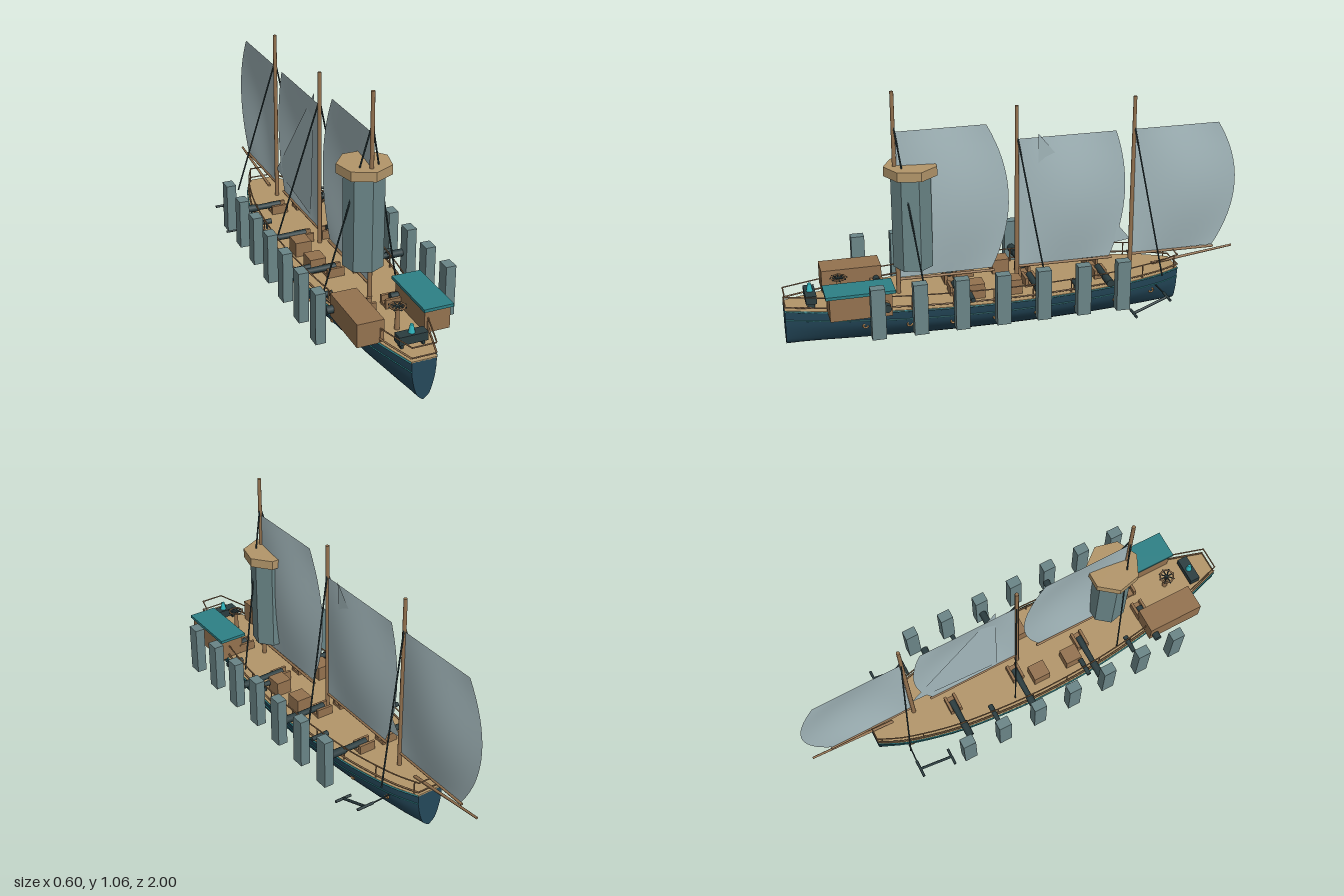
import * as THREE from 'three';

const mat = (name, color, side = THREE.FrontSide) => {
  const m = new THREE.MeshStandardMaterial({ color, side });
  m.name = name;
  return m;
};

export function createModel() {
  const root = new THREE.Group();
  const hullBlue = mat('hull blue', 0x24485a, THREE.DoubleSide);
  const deckTan = mat('deck tan', 0xb3966a);
  const wood = mat('brown wood', 0x94724f);
  const slate = mat('slate', 0x6a8587);
  const sailGrey = mat('sail grey', 0xa2b6ba, THREE.DoubleSide);
  const teal = mat('teal', 0x2d8086);
  const iron = mat('dark iron', 0x2b3d40);
  const brass = mat('brass', 0xb98a55);
  const cyan = mat('lamp cyan', 0x2fb4bd);

  const V = (x, y, z) => new THREE.Vector3(x, y, z);
  const add = (name, geo, m, x = 0, y = 0, z = 0) => {
    const mesh = new THREE.Mesh(geo, m);
    mesh.name = name;
    mesh.position.set(x, y, z);
    root.add(mesh);
    return mesh;
  };
  const box = (name, m, w, h, d, x, y, z) => add(name, new THREE.BoxGeometry(w, h, d), m, x, y, z);
  // round bar between two points
  const bar = (name, m, a, b, r, r2 = r, sides = 8) => {
    const d = b.clone().sub(a);
    const mesh = add(name, new THREE.CylinderGeometry(r2, r, d.length(), sides), m);
    mesh.position.copy(a).add(b).multiplyScalar(0.5);
    mesh.quaternion.setFromUnitVectors(V(0, 1, 0), d.normalize());
    return mesh;
  };
  const sides = [1, -1];

  // Hull plan: half width along z
  const plan = new THREE.SplineCurve([[-0.72, 0.06], [-0.6, 0.115], [-0.4, 0.167], [-0.2, 0.193], [0, 0.205], [0.2, 0.202],
    [0.4, 0.186], [0.6, 0.157], [0.8, 0.113], [1, 0.052]].map(p => new THREE.Vector2(...p))).getPoints(45);
  const halfWidth = z => {
    let i = 1;
    while (i < plan.length - 1 && plan[i].x < z) i++;
    const a = plan[i - 1], b = plan[i];
    return a.y + (b.y - a.y) * THREE.MathUtils.clamp((z - a.x) / (b.x - a.x), 0, 1);
  };
  // Hull section: fraction of half width, height
  const section = new THREE.SplineCurve([[0, 0], [0.3, 0.012], [0.57, 0.032], [0.85, 0.085], [0.95, 0.125], [1, 0.172]]
    .map(p => new THREE.Vector2(...p))).getPoints(14);
  const ring = [...section.slice(1).reverse().map(p => [-p.x, p.y]), ...section.map(p => [p.x, p.y])];
  const pos = [], idx = [], n = ring.length;
  plan.forEach(p => ring.forEach(([f, y]) => pos.push(f * p.y, y, p.x)));
  for (let i = 0; i < plan.length - 1; i++) for (let j = 0; j < n - 1; j++) {
    const a = i * n + j, b = a + n;
    idx.push(a, a + 1, b, a + 1, b + 1, b);
  }
  const hullGeo = new THREE.BufferGeometry();
  hullGeo.setAttribute('position', new THREE.Float32BufferAttribute(pos, 3));
  hullGeo.setIndex(idx);
  hullGeo.computeVertexNormals();
  // outward winding check is by rule: bottom normals point down
  if (hullGeo.attributes.normal.getY(Math.floor(n / 2) + n * 20) > 0) {
    for (let i = 0; i < idx.length; i += 3) [idx[i], idx[i + 1]] = [idx[i + 1], idx[i]];
    hullGeo.setIndex(idx);
    hullGeo.computeVertexNormals();
  }
  add('hull', hullGeo, hullBlue);
  [plan[0], plan[plan.length - 1]].forEach(p => {
    const end = new THREE.Shape(ring.map(([f, y]) => new THREE.Vector2(f * p.y, y)));
    add('hullEnd', new THREE.ShapeGeometry(end), hullBlue, 0, 0, p.x);
  });

  // Deck
  const outline = [...plan.map(p => new THREE.Vector2(p.y, -p.x)), ...plan.slice().reverse().map(p => new THREE.Vector2(-p.y, -p.x))];
  const deckGeo = new THREE.ExtrudeGeometry(new THREE.Shape(outline), { depth: 0.006, bevelEnabled: false });
  add('deck', deckGeo.rotateX(-Math.PI / 2), deckTan, 0, 0.17, 0);

  // Strakes and rails following the plan
  const rail = (name, m, s, y, f, r) => add(name, new THREE.TubeGeometry(
    new THREE.CatmullRomCurve3(plan.map(p => V(s * p.y * f, y, p.x))), 60, r, 6), m);
  for (const s of sides) {
    rail('gunwale', teal, s, 0.171, 1.01, 0.004);
    rail('rubStrake', teal, s, 0.13, 0.962, 0.003);
    rail('lowerRail', wood, s, 0.19, 0.97, 0.004);
    rail('upperRail', wood, s, 0.235, 0.95, 0.003);
    for (let z = -0.7; z <= 1; z += 0.17) {
      const x = s * halfWidth(z) * 0.95;
      bar('railPost', wood, V(x, 0.17, z), V(x, 0.235, z), 0.003);
    }
    // portholes
    for (let i = 0; i < 8; i++) {
      const z = 0.68 - i * 0.18;
      add('porthole', new THREE.TorusGeometry(0.01, 0.004, 6, 12).rotateY(Math.PI / 2), brass, s * halfWidth(z) * 0.9, 0.103, z);
    }
    // side floats
    for (let i = 0; i < 7; i++) box('sideFloat', slate, 0.043, 0.22, 0.058, s * 0.277, 0.23, 0.648 - i * 0.172);
    // large guns on carriages
    for (const [z, out] of [[0.6, 0.225], [0.287, 0.255], [-0.04, 0.258], [-0.35, 0.228]]) {
      bar('gunBarrel', iron, V(s * 0.05, 0.215, z), V(s * out, 0.215, z), 0.015, 0.011, 10);
      bar('gunMuzzle', iron, V(s * (out - 0.07), 0.215, z), V(s * out, 0.215, z), 0.017, 0.017, 10);
      for (const d of sides) box('gunCarriage', wood, 0.075, 0.04, 0.012, s * 0.058, 0.198, z + d * 0.021);
      box('gunBed', wood, 0.075, 0.012, 0.05, s * 0.058, 0.186, z);
    }
    // small guns
    for (const z of [0.475, 0.245, -0.21]) {
      bar('smallGun', iron, V(s * 0.145, 0.21, z), V(s * 0.225, 0.21, z), 0.012, 0.01, 10);
      bar('smallGunPost', iron, V(s * 0.165, 0.17, z), V(s * 0.165, 0.21, z), 0.005);
    }
    // deck crates
    for (const z of [0.052, 0.213]) box('deckCrate', wood, 0.07, 0.065, 0.075, s * 0.11, 0.208, z);
    // anchors
    bar('anchorShank', iron, V(s * 0.236, 0.125, -0.605), V(s * 0.236, 0.065, -0.455), 0.006);
    bar('anchorStock', iron, V(s * 0.196, 0.125, -0.605), V(s * 0.274, 0.125, -0.605), 0.006);
    bar('anchorArm', iron, V(s * 0.198, 0.065, -0.455), V(s * 0.274, 0.065, -0.455), 0.006);
    bar('anchorCable', iron, V(s * 0.1, 0.125, -0.6), V(s * 0.2, 0.125, -0.605), 0.003);
  }
  for (const y of [0.19, 0.235]) for (const [z, w] of [[1, 0.05], [-0.72, 0.057]])
    bar('endRail', wood, V(-w, y, z * 0.997), V(w, y, z * 0.997), 0.003);

  // Masts, shrouds and booms
  for (const [z, top, ropeTop, boomEnd] of [[0.517, 1.06, 0.93, 0.1], [0, 0.96, 0.84, -0.43], [-0.517, 0.96, 0.84, -0.91]]) {
    bar('mast', wood, V(0, 0.17, z), V(0, top, z), 0.01, 0.008, 10);
    bar('boom', wood, V(0, 0.237, z), V(0, 0.232, boomEnd), 0.006);
    for (const s of sides) bar('shroud', iron, V(0, ropeTop, z), V(s * 0.16, 0.19, z - 0.092), 0.0035, 0.0035, 6);
  }
  bar('bowsprit', wood, V(0, 0.18, -0.62), V(0, 0.226, -1), 0.007, 0.005);

  // Sails: a grid with a curved trailing edge and a gentle belly
  const sail = (zl, yt, yb, zt, zm, zb) => {
    const g = new THREE.PlaneGeometry(1, 1, 12, 16), p = g.attributes.position;
    for (let i = 0; i < p.count; i++) {
      const u = p.getX(i) + 0.5, v = p.getY(i) + 0.5;
      const edge = zb * (1 - v) * (1 - 2 * v) + 4 * zm * v * (1 - v) + zt * v * (2 * v - 1);
      p.setXYZ(i, 0.03 * Math.sin(Math.PI * u) * Math.sin(Math.PI * v), yb + (yt - yb) * v, zl + (edge - zl) * u);
    }
    g.computeVertexNormals();
    add('sail', g, sailGrey);
  };
  sail(0.508, 0.89, 0.245, 0.13, 0.035, 0.11);
  sail(-0.008, 0.815, 0.24, -0.437, -0.484, -0.42);
  sail(-0.525, 0.815, 0.24, -0.905, -0.998, -0.905);
  const stay = new THREE.BufferGeometry().setFromPoints([V(0.012, 0.835, -0.09), V(0, 0.26, -0.1), V(0, 0.31, -0.515)]);
  stay.computeVertexNormals();
  add('staysail', stay, sailGrey);

  // Seven-sided tower with a wider cap
  const prism = (r, h) => {
    const g = new THREE.CylinderGeometry(r, r, h, 7).toNonIndexed();
    g.computeVertexNormals();
    return g;
  };
  add('tower', prism(0.085, 0.405), slate, 0, 0.502, 0.45);
  add('towerCap', prism(0.113, 0.04), deckTan, 0, 0.725, 0.45);

  // Cabins
  box('rightCabin', wood, 0.112, 0.1, 0.255, -0.14, 0.222, 0.703);
  box('leftCabin', wood, 0.11, 0.1, 0.255, 0.14, 0.22, 0.703);
  box('leftCabinRoof', teal, 0.126, 0.013, 0.285, 0.138, 0.276, 0.703);
  add('cabinPort', new THREE.TorusGeometry(0.013, 0.004, 6, 14).rotateY(Math.PI / 2), brass, 0.196, 0.225, 0.605);

  // Steering wheel
  bar('wheelPost', wood, V(0, 0.17, 0.768), V(0, 0.275, 0.768), 0.012, 0.007);
  add('wheelRim', new THREE.TorusGeometry(0.03, 0.004, 6, 20).rotateX(Math.PI / 2), wood, 0, 0.275, 0.768);
  for (let i = 0; i < 4; i++) {
    const a = i * Math.PI / 4, c = 0.037 * Math.cos(a), s = 0.037 * Math.sin(a);
    bar('wheelSpoke', iron, V(-c, 0.275, 0.768 - s), V(c, 0.275, 0.768 + s), 0.003);
  }

  // Lamp stand
  box('lampStand', iron, 0.12, 0.036, 0.045, 0, 0.212, 0.89);
  for (const s of sides) box('lampStandLeg', iron, 0.01, 0.03, 0.03, s * 0.045, 0.185, 0.89);
  add('lamp', new THREE.CylinderGeometry(0.007, 0.014, 0.035, 10), cyan, 0, 0.247, 0.89);
  return root;
}
